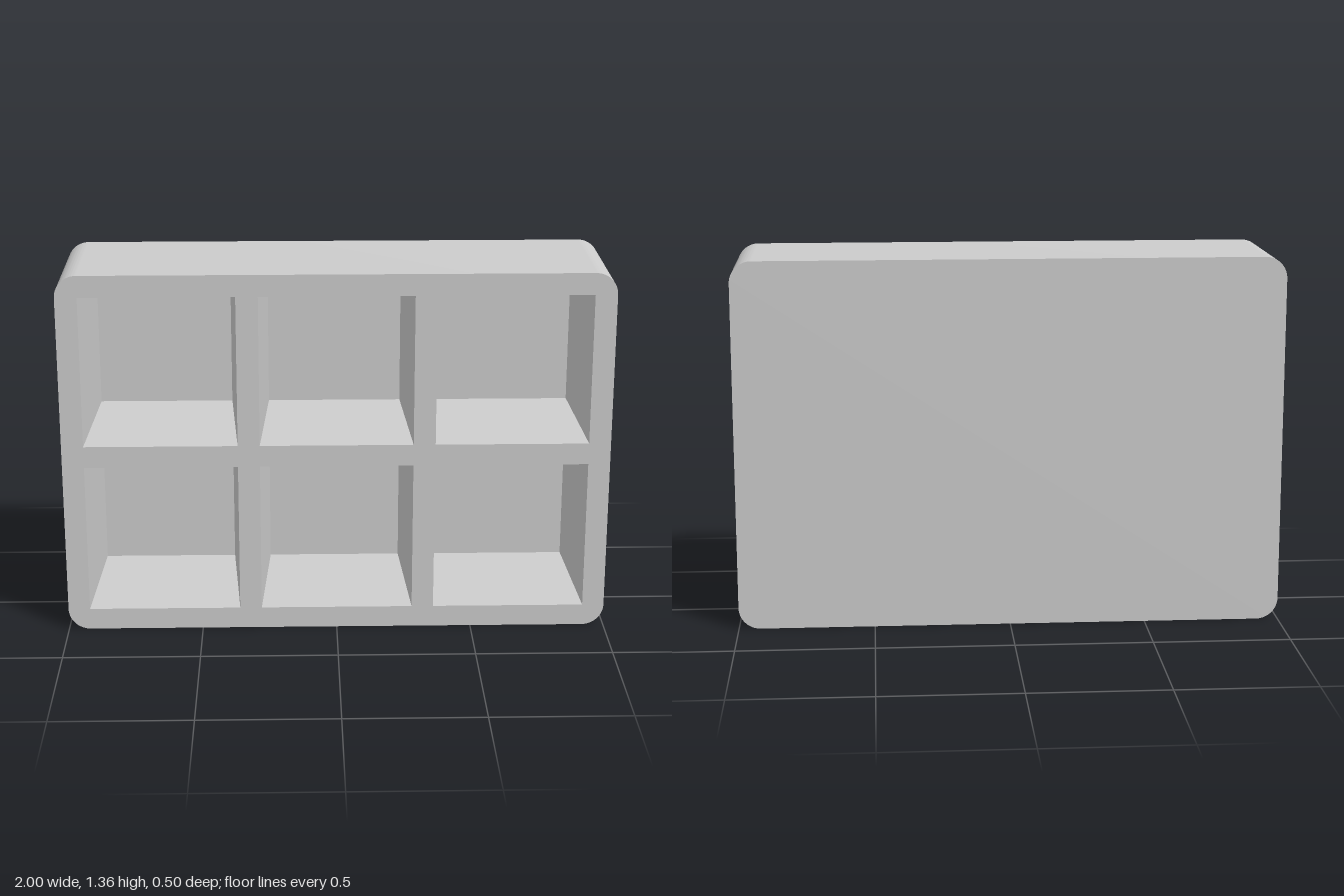
import * as THREE from 'three';
import { toCreasedNormals } from 'three/addons/utils/BufferGeometryUtils.js';

const W = 2, H = 1.36, D = 0.5, R = 0.08;        // outer block
const CELL = 0.56, PITCH = 0.64, DEPTH = 0.44;   // pockets
const DRAFT = 0.03;                              // inset of each pocket floor
const COLS = [-PITCH, 0, PITCH], ROWS = [H / 2 - PITCH / 2, H / 2 + PITCH / 2];

// Rounded rectangle standing on y = 0
function outline() {
  const s = new THREE.Shape(), x = W / 2;
  s.absarc(x - R, R, R, -Math.PI / 2, 0);
  s.absarc(x - R, H - R, R, 0, Math.PI / 2);
  s.absarc(R - x, H - R, R, Math.PI / 2, Math.PI);
  s.absarc(R - x, R, R, Math.PI, Math.PI * 1.5);
  s.closePath();
  return s;
}

// Square opening, wound clockwise
function opening(cx, cy) {
  const h = CELL / 2;
  return new THREE.Path([[-h, -h], [-h, h], [h, h], [h, -h]]
    .map(([x, y]) => new THREE.Vector2(cx + x, cy + y)));
}

// Outer side walls only: an extrusion without its caps
function rimGeometry() {
  const full = toCreasedNormals(
    new THREE.ExtrudeGeometry(outline(), { depth: D, bevelEnabled: false, curveSegments: 12 }), 0.6);
  const caps = full.groups[0].count * 3;
  const geo = new THREE.BufferGeometry();
  for (const name of ['position', 'normal']) {
    geo.setAttribute(name, new THREE.BufferAttribute(full.attributes[name].array.slice(caps), 3));
  }
  return geo.translate(0, 0, -D / 2);
}

// Inside-out tapered box, open at the front
function pocketGeometry() {
  const geo = new THREE.BoxGeometry(CELL, CELL, DEPTH).scale(-1, -1, -1);
  geo.setIndex([...geo.index.array].slice(0, 30));
  geo.clearGroups();
  const p = geo.attributes.position, k = 1 - DRAFT / (CELL / 2);
  for (let i = 0; i < p.count; i++) {
    if (p.getZ(i) < 0) p.setXY(i, p.getX(i) * k, p.getY(i) * k);
  }
  geo.computeVertexNormals();
  return geo.translate(0, 0, D / 2 - DEPTH / 2);
}

export function createModel() {
  const model = new THREE.Group();
  model.name = 'compartmentTray';
  const material = new THREE.MeshStandardMaterial({ color: 0xcccccc });
  const add = (name, geometry) => {
    const mesh = new THREE.Mesh(geometry, material);
    mesh.name = name;
    model.add(mesh);
    return mesh;
  };

  // Outer shell
  add('outerWalls', rimGeometry());
  add('backPanel', new THREE.ShapeGeometry(outline(), 12).rotateY(Math.PI).translate(0, 0, -D / 2));

  // Front frame and the pockets behind its openings
  const frame = outline();
  const pocket = pocketGeometry();
  for (const y of ROWS) {
    for (const x of COLS) {
      frame.holes.push(opening(x, y));
      add('pocket', pocket).position.set(x, y, 0);
    }
  }
  add('frontFrame', new THREE.ShapeGeometry(frame, 12).translate(0, 0, D / 2));

  return model;
}
